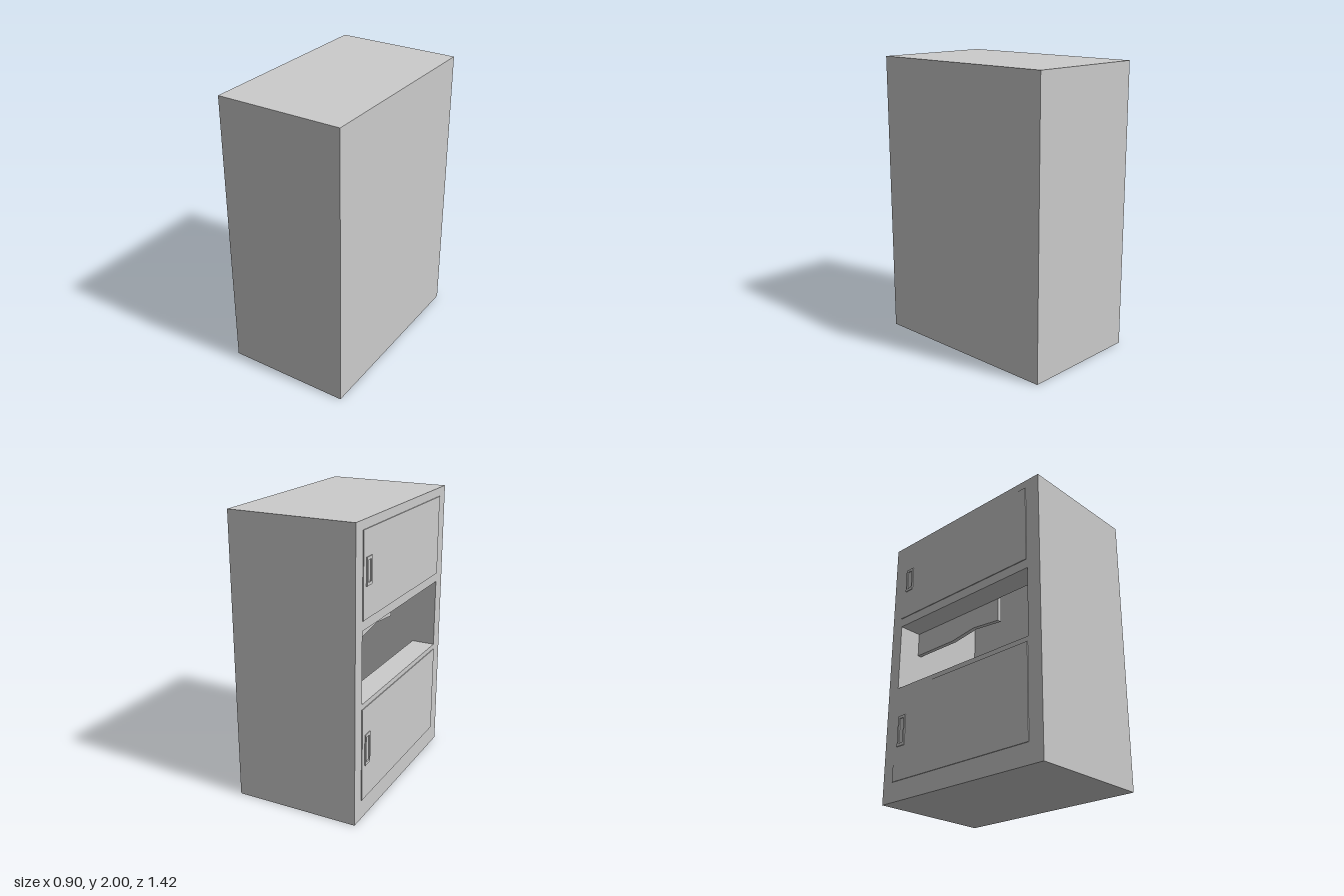
import * as THREE from 'three';

const material = new THREE.MeshStandardMaterial({ color: 0xcccccc, flatShading: true });

// Rectangle outline in the (z, y) plane
function rect(z0, z1, y0, y1, Type = THREE.Shape) {
  return new Type([[z0, y0], [z1, y0], [z1, y1], [z0, y1]].map(p => new THREE.Vector2(...p)));
}

// Extrude a (z, y) outline from x = inner outwards towards -x
function panel(name, shape, inner, outer) {
  const geometry = new THREE.ExtrudeGeometry(shape, { depth: inner - outer, bevelEnabled: false });
  geometry.rotateY(-Math.PI / 2).translate(inner, 0, 0);
  const mesh = new THREE.Mesh(geometry, material);
  mesh.name = name;
  return mesh;
}

function box(name, x0, x1, y0, y1, z0, z1) {
  const mesh = new THREE.Mesh(new THREE.BoxGeometry(x1 - x0, y1 - y0, z1 - z0), material);
  mesh.position.set((x0 + x1) / 2, (y0 + y1) / 2, (z0 + z1) / 2);
  mesh.name = name;
  return mesh;
}

export function createModel() {
  const model = new THREE.Group();
  model.name = 'cabinet';
  const outer = -0.44, inner = -0.27, back = 0.32, far = 0.445;
  const zMin = -0.616, zMax = 0.605;

  // Thick door-side wall with the open niche
  const frame = rect(-0.71, 0.71, 0, 2);
  frame.holes.push(rect(zMin, zMax, 0.825, 1.315, THREE.Path));
  model.add(panel('nicheFrame', frame, inner, outer));

  // Remaining walls around the hollow interior
  model.add(
    box('backWall', back, far, 0, 2, -0.71, 0.71),
    box('endWallRear', inner, back, 0, 2, -0.71, zMin),
    box('endWallFront', inner, back, 0, 2, zMax, 0.71),
    box('bottomPanel', inner, back, 0, 0.12, zMin, zMax),
    box('topPanel', inner, back, 1.88, 2, zMin, zMax),
  );

  // Notched valance hanging behind the top of the niche
  const valance = new THREE.Shape([
    [zMin, 1.139], [-0.25, 1.139], [-0.043, 1.171], [0.19, 1.148], [0.19, 1.4], [zMin, 1.4],
  ].map(p => new THREE.Vector2(...p)));
  model.add(panel('valance', valance, inner + 0.03, inner));

  // Two doors, each with a raised rectangular pull
  const doors = [
    { name: 'upper', y: [1.38, 1.94], pull: [1.59, 1.77] },
    { name: 'lower', y: [0.14, 0.79], pull: [0.38, 0.6] },
  ];
  for (const { name, y, pull } of doors) {
    const door = new THREE.Group();
    door.name = name + 'Door';
    const ring = rect(-0.58, -0.51, ...pull);
    ring.holes.push(rect(-0.565, -0.525, pull[0] + 0.02, pull[1] - 0.02, THREE.Path));
    door.add(
      panel(name + 'DoorPanel', rect(zMin, 0.6, ...y), outer, -0.446),
      panel(name + 'DoorPull', ring, -0.446, -0.453),
    );
    model.add(door);
  }
  return model;
}
